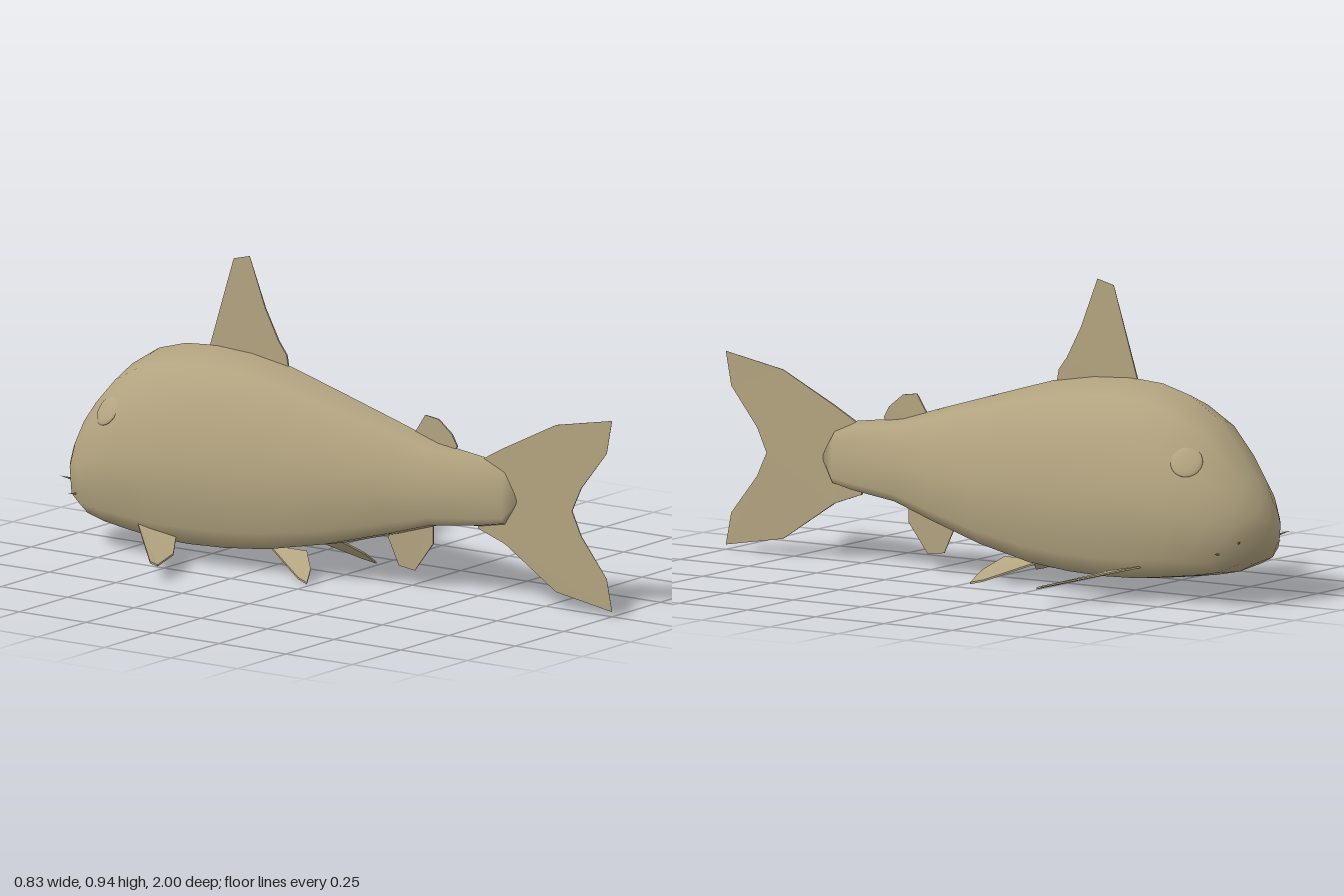
import * as THREE from 'three';

const tan = new THREE.MeshStandardMaterial({ color: 0xb3a480, side: THREE.DoubleSide });
tan.name = 'tan skin';

// half cross-section: [share of half width, share of height], top to bottom
const HALF = [[0, 1], [0.44, 0.926], [0.78, 0.713], [1, 0.443], [0.93, 0.13], [0.69, 0.03], [0, 0]];
const RING = [...HALF, ...HALF.slice(1, -1).reverse().map(([x, y]) => [-x, y])];

// stations along the body: z, top, bottom, half width
const STATIONS = [
  [0.6, 0.4, 0.235, 0.022], [0.52, 0.435, 0.22, 0.042], [0.35, 0.457, 0.2, 0.072],
  [0.2, 0.503, 0.155, 0.108], [0, 0.562, 0.1, 0.155], [-0.2, 0.62, 0.06, 0.193],
  [-0.35, 0.645, 0.046, 0.212], [-0.48, 0.652, 0.042, 0.222], [-0.6, 0.643, 0.046, 0.225],
  [-0.7, 0.615, 0.058, 0.22], [-0.8, 0.553, 0.072, 0.207], [-0.88, 0.463, 0.088, 0.178],
  [-0.94, 0.385, 0.118, 0.132], [-0.98, 0.32, 0.165, 0.075],
];

function bodyGeometry() {
  const pos = [], idx = [], n = RING.length;
  for (const [z, top, bottom, w] of STATIONS)
    for (const [x, y] of RING) pos.push(x * w, bottom + y * (top - bottom), z);
  const last = (STATIONS.length - 1) * n;
  for (let r = 0; r < last; r += n)
    for (let j = 0; j < n; j++) {
      const a = r + j, b = r + (j + 1) % n;
      idx.push(a, b, a + n, b, b + n, a + n);
    }
  // tail tip and nose tip
  const tail = pos.length / 3;
  pos.push(0, 0.315, 0.65, 0, 0.24, -1);
  for (let j = 0; j < n; j++) {
    const k = (j + 1) % n;
    idx.push(tail, k, j, tail + 1, last + j, last + k);
  }
  const g = new THREE.BufferGeometry();
  g.setAttribute('position', new THREE.Float32BufferAttribute(pos, 3));
  g.setIndex(idx);
  g.computeVertexNormals();
  return g;
}

// upright fin from a [z, y] outline, thinning away from its root point
function medianFin(outline, rootZ, rootY, reach) {
  const shape = new THREE.Shape(outline.map(([z, y]) => new THREE.Vector2(-z, y)));
  const g = new THREE.ExtrudeGeometry(shape, { depth: 0.01, bevelEnabled: false });
  g.translate(0, 0, -0.005).rotateY(Math.PI / 2);
  const p = g.attributes.position;
  for (let i = 0; i < p.count; i++) {
    // the rotated outline lies in the zy plane
    const d = Math.hypot(p.getZ(i) - rootZ, p.getY(i) - rootY) / reach;
    p.setX(i, p.getX(i) * Math.max(0.08, 1 - d));
  }
  g.computeVertexNormals();
  return g;
}

// thin side fin from 3D outline corners
function sideFin(corners, side) {
  const pos = [], idx = [], n = corners.length;
  for (const dy of [0.003, -0.003])
    for (const [x, y, z] of corners) pos.push(side * x, y + dy, z);
  for (let i = 1; i < n - 1; i++) idx.push(0, i + 1, i, n, n + i, n + i + 1);
  for (let i = 0; i < n; i++) {
    const k = (i + 1) % n;
    idx.push(i, k, n + i, k, n + k, n + i);
  }
  if (side < 0) idx.reverse();
  const g = new THREE.BufferGeometry();
  g.setAttribute('position', new THREE.Float32BufferAttribute(pos, 3));
  g.setIndex(idx);
  const flat = g.toNonIndexed();
  flat.computeVertexNormals();
  return flat;
}

export function createModel() {
  const model = new THREE.Group();
  model.name = 'fish';
  const add = (name, geometry) => {
    const m = new THREE.Mesh(geometry, tan);
    m.name = name;
    model.add(m);
    return m;
  };

  add('body', bodyGeometry());

  // fins on the centre line
  add('dorsalFin', medianFin([[-0.21, 0.6], [-0.22, 0.655], [-0.25, 0.695], [-0.3, 0.79], [-0.36, 0.945],
    [-0.42, 0.93], [-0.51, 0.64], [-0.5, 0.6]], -0.36, 0.6, 0.37));
  add('tailFin', medianFin([[1, 0.61], [0.79, 0.57], [0.6, 0.475], [0.5, 0.42], [0.5, 0.21], [0.6, 0.175],
    [0.79, 0.05], [1, 0.015], [0.98, 0.115], [0.885, 0.235], [0.85, 0.31], [0.885, 0.385], [0.98, 0.505]],
  0.5, 0.315, 0.56));
  add('adiposeFin', medianFin([[0.4, 0.42], [0.42, 0.455], [0.4, 0.49], [0.35, 0.53], [0.3, 0.537],
    [0.26, 0.475], [0.27, 0.44]], 0.34, 0.44, 0.2));
  add('analFin', medianFin([[0.33, 0.23], [0.33, 0.14], [0.26, 0.047], [0.2, 0.055], [0.16, 0.14],
    [0.18, 0.2]], 0.25, 0.2, 0.2));

  for (const side of [1, -1]) {
    const label = side > 0 ? 'left' : 'right';
    // paired fins
    add(label + 'PectoralFin', sideFin([[0.17, 0.11, -0.66], [0.413, 0.056, -0.435], [0.408, 0.048, -0.41],
      [0.285, 0.057, -0.44], [0.16, 0.08, -0.52]], side));
    add(label + 'PelvicFin', sideFin([[0.09, 0.077, -0.22], [0.17, 0.012, -0.055], [0.18, 0.003, -0.015],
      [0.14, 0.037, -0.03], [0.09, 0.077, -0.08]], side));

    // flat round eye lying against the head
    const eye = add(label + 'Eye', new THREE.SphereGeometry(0.05, 20, 12));
    eye.position.set(side * 0.147, 0.435, -0.785);
    eye.lookAt(side * 0.947, 0.965, -1.135);
    eye.scale.z = 0.2;

    // short barbels around the mouth
    for (const [from, to] of [
      [[0.1, 0.19, -0.94], [0.135, 0.205, -0.975]],
      [[0.14, 0.16, -0.9], [0.182, 0.165, -0.91]],
    ]) {
      const a = new THREE.Vector3(side * from[0], from[1], from[2]);
      const b = new THREE.Vector3(side * to[0], to[1], to[2]);
      const dir = b.clone().sub(a);
      const barbel = add(label + 'Barbel', new THREE.ConeGeometry(0.005, dir.length(), 6));
      barbel.position.copy(a).add(b).multiplyScalar(0.5);
      barbel.quaternion.setFromUnitVectors(new THREE.Vector3(0, 1, 0), dir.normalize());
    }
  }
  return model;
}
